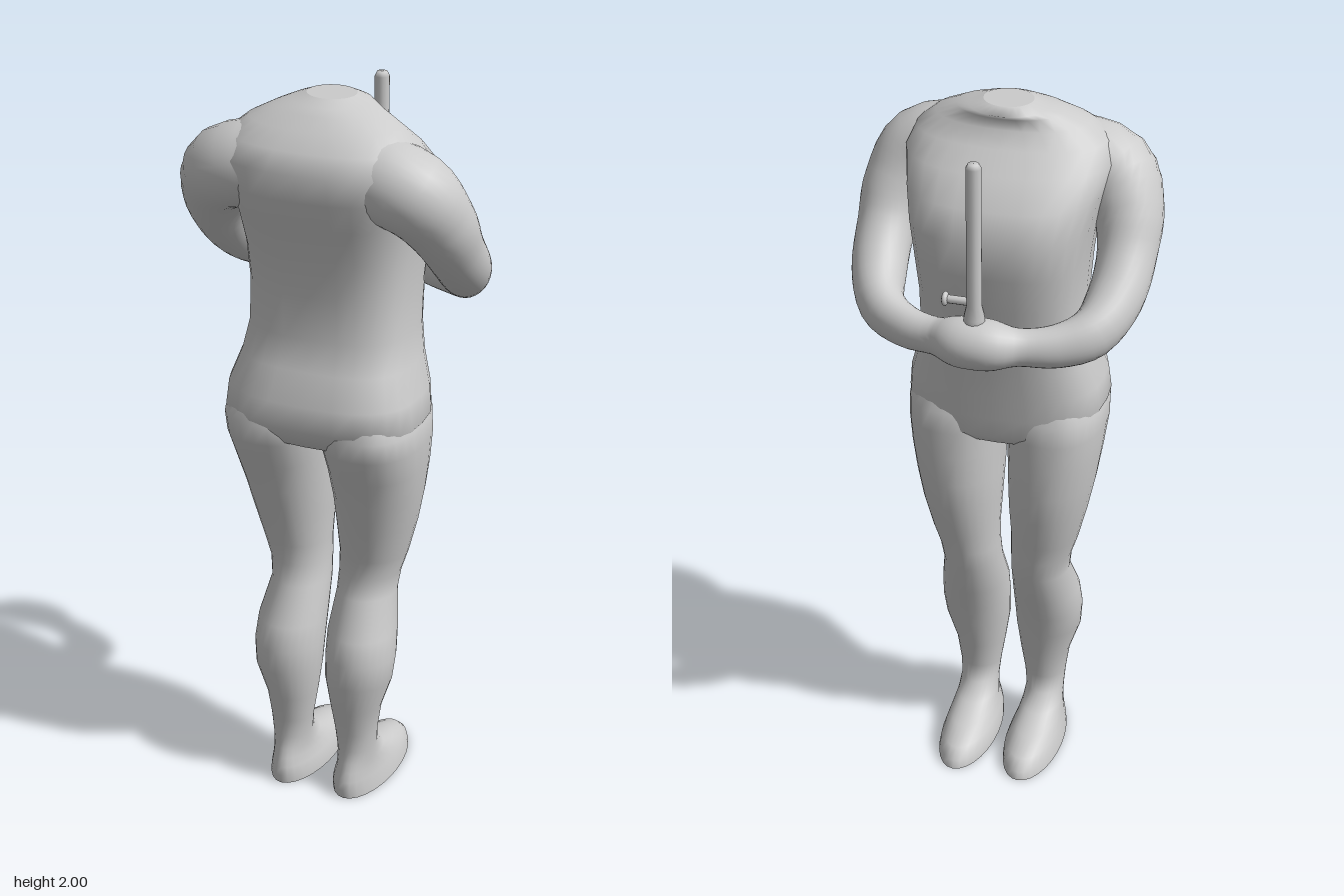
import * as THREE from 'three';

const material = new THREE.MeshStandardMaterial({ color: 0xcccccc });
const SIDES = 28;

function addMesh(parent, geometry, name) {
  const mesh = new THREE.Mesh(geometry, material);
  mesh.name = name;
  parent.add(mesh);
  return mesh;
}

// Skin a list of closed rings and cap both ends with their own vertices (crisp edge).
function loft(rings) {
  const n = rings[0].length, pos = [], idx = [];
  const push = (p) => pos.push(p.x, p.y, p.z);
  rings.forEach((ring) => ring.forEach(push));
  for (let r = 0; r < rings.length - 1; r++) {
    for (let i = 0; i < n; i++) {
      const a = r * n + i, b = r * n + (i + 1) % n;
      idx.push(a, a + n, b, b, a + n, b + n);
    }
  }
  [rings[0], rings[rings.length - 1]].forEach((ring, end) => {
    const start = pos.length / 3;
    ring.forEach(push);
    const centre = new THREE.Vector3();
    ring.forEach((p) => centre.addScaledVector(p, 1 / n));
    push(centre);
    for (let i = 0; i < n; i++) {
      const a = start + i, b = start + (i + 1) % n;
      if (end) idx.push(a, start + n, b);
      else idx.push(a, b, start + n);
    }
  });
  const g = new THREE.BufferGeometry();
  g.setAttribute('position', new THREE.Float32BufferAttribute(pos, 3));
  g.setIndex(idx);
  g.computeVertexNormals();
  return g;
}

// Horizontal rounded section: [y, xMin, xMax, zMin, zMax, squareness]
function section([y, x0, x1, z0, z1, power = 1]) {
  const bend = (v) => Math.sign(v) * Math.abs(v) ** power;
  return Array.from({ length: SIDES }, (_, i) => {
    const a = (i / SIDES) * Math.PI * 2;
    return new THREE.Vector3(
      (x0 + x1) / 2 + bend(Math.cos(a)) * (x1 - x0) / 2, y,
      (z0 + z1) / 2 + bend(Math.sin(a)) * (z1 - z0) / 2);
  });
}

// Sweep an oval along a curve; each stop is [x, y, z, sideways radius, upward radius]
function sweep(stops, steps) {
  const path = new THREE.CatmullRomCurve3(stops.map((s) => new THREE.Vector3(s[0], s[1], s[2])));
  const size = new THREE.CatmullRomCurve3(stops.map((s) => new THREE.Vector3(s[3], s[4], 0)), false, 'catmullrom', 0.4);
  const up = new THREE.Vector3(0, 1, 0), rings = [];
  for (let k = 0; k <= steps; k++) {
    const p = path.getPoint(k / steps), t = path.getTangent(k / steps), r = size.getPoint(k / steps);
    const side = t.clone().cross(up).normalize();
    const lift = side.clone().cross(t);
    rings.push(Array.from({ length: SIDES }, (_, i) => {
      const a = (i / SIDES) * Math.PI * 2;
      return p.clone().addScaledVector(side, Math.cos(a) * r.x).addScaledVector(lift, Math.sin(a) * r.y);
    }));
  }
  return loft(rings);
}

export function createModel() {
  const model = new THREE.Group();
  model.name = 'headlessFigure';

  // Torso from crotch to neck: [y, half width, chest z, back z, squareness]
  const torso = [
    [1.06, 0.17, -0.055, 0.18, 0.8], [1.09, 0.24, -0.08, 0.26, 0.75], [1.15, 0.27, -0.087, 0.3, 0.72],
    [1.22, 0.262, -0.095, 0.295, 0.72], [1.3, 0.236, -0.105, 0.255, 0.72], [1.38, 0.222, -0.117, 0.228, 0.72],
    [1.5, 0.22, -0.138, 0.23, 0.72], [1.6, 0.228, -0.157, 0.242, 0.72], [1.7, 0.24, -0.17, 0.275, 0.72],
    [1.78, 0.258, -0.137, 0.303, 0.75], [1.85, 0.275, -0.075, 0.31, 0.8], [1.9, 0.255, -0.02, 0.28, 0.85],
    [1.94, 0.205, 0.012, 0.235, 0.9], [1.97, 0.145, 0.01, 0.2, 0.95], [1.985, 0.105, -0.01, 0.175], [2, 0.065, 0.02, 0.14],
  ];
  addMesh(model, loft(torso.map(([y, w, z0, z1, p]) => section([y, -w, w, z0, z1, p]))), 'torso');

  // Legs with feet pointing to -z, sole first
  const leg = [
    [0, 0.015, 0.178, -0.165, 0.23], [0.025, 0.017, 0.174, -0.16, 0.234], [0.05, 0.025, 0.167, -0.13, 0.23],
    [0.075, 0.035, 0.16, -0.06, 0.22], [0.1, 0.041, 0.155, 0.02, 0.21], [0.135, 0.044, 0.153, 0.078, 0.2],
    [0.19, 0.038, 0.157, 0.084, 0.203], [0.27, 0.025, 0.168, 0.07, 0.218], [0.36, 0.012, 0.198, 0.052, 0.238],
    [0.43, 0.01, 0.204, 0.032, 0.238], [0.5, 0.01, 0.199, 0.01, 0.222], [0.6, 0.016, 0.18, -0.022, 0.162],
    [0.66, 0.018, 0.188, -0.03, 0.15], [0.72, 0.019, 0.207, -0.042, 0.156], [0.82, 0.013, 0.232, -0.068, 0.185],
    [0.91, 0.009, 0.25, -0.08, 0.213], [1, 0.008, 0.262, -0.083, 0.245, 0.9], [1.08, 0.004, 0.27, -0.083, 0.28, 0.85],
    [1.14, 0.003, 0.268, -0.08, 0.292, 0.8], [1.2, 0.02, 0.24, -0.05, 0.26, 0.85],
  ];
  for (const side of [1, -1]) {
    const rings = leg.map(([y, x0, x1, z0, z1, p]) =>
      section(side > 0 ? [y, x0, x1, z0, z1, p] : [y, -x1, -x0, z0, z1, p]));
    addMesh(model, loft(rings), side > 0 ? 'leftLeg' : 'rightLeg');
  }

  // Both arms in one loop, meeting in clasped hands
  const arm = [
    [0.12, 1.83, 0.16, 0.11, 0.11], [0.255, 1.795, 0.165, 0.11, 0.11], [0.308, 1.71, 0.115, 0.094, 0.094],
    [0.323, 1.62, 0.05, 0.078, 0.08], [0.315, 1.535, -0.045, 0.073, 0.074], [0.278, 1.48, -0.138, 0.06, 0.068],
    [0.2, 1.458, -0.19, 0.048, 0.058], [0.11, 1.458, -0.22, 0.045, 0.05], [0.04, 1.465, -0.242, 0.067, 0.066],
  ];
  const mirrored = arm.map(([x, ...rest]) => [-x, ...rest]).reverse();
  addMesh(model, sweep([...arm, ...mirrored], 68), 'armsAndHands');

  // Upright rod held in the hands, flared at its foot
  const profile = [[0, 1.48], [0.028, 1.48], [0.028, 1.54], [0.02, 1.575], [0.02, 1.95], [0.014, 1.962], [0, 1.962]];
  const rod = new THREE.Group();
  rod.name = 'rod';
  rod.position.z = -0.242;
  model.add(rod);
  addMesh(rod, new THREE.LatheGeometry(profile.map(([x, y]) => new THREE.Vector2(x, y)), 12), 'rodShaft');

  // Small side peg with a domed head
  const peg = addMesh(rod, new THREE.CylinderGeometry(0.011, 0.011, 0.075, 10), 'peg');
  peg.rotation.z = -Math.PI / 2;
  peg.position.set(0.038, 1.582, 0);
  const head = addMesh(rod, new THREE.SphereGeometry(0.019, 12, 8), 'pegHead');
  head.scale.x = 0.5;
  head.position.set(0.076, 1.582, 0);

  return model;
}
